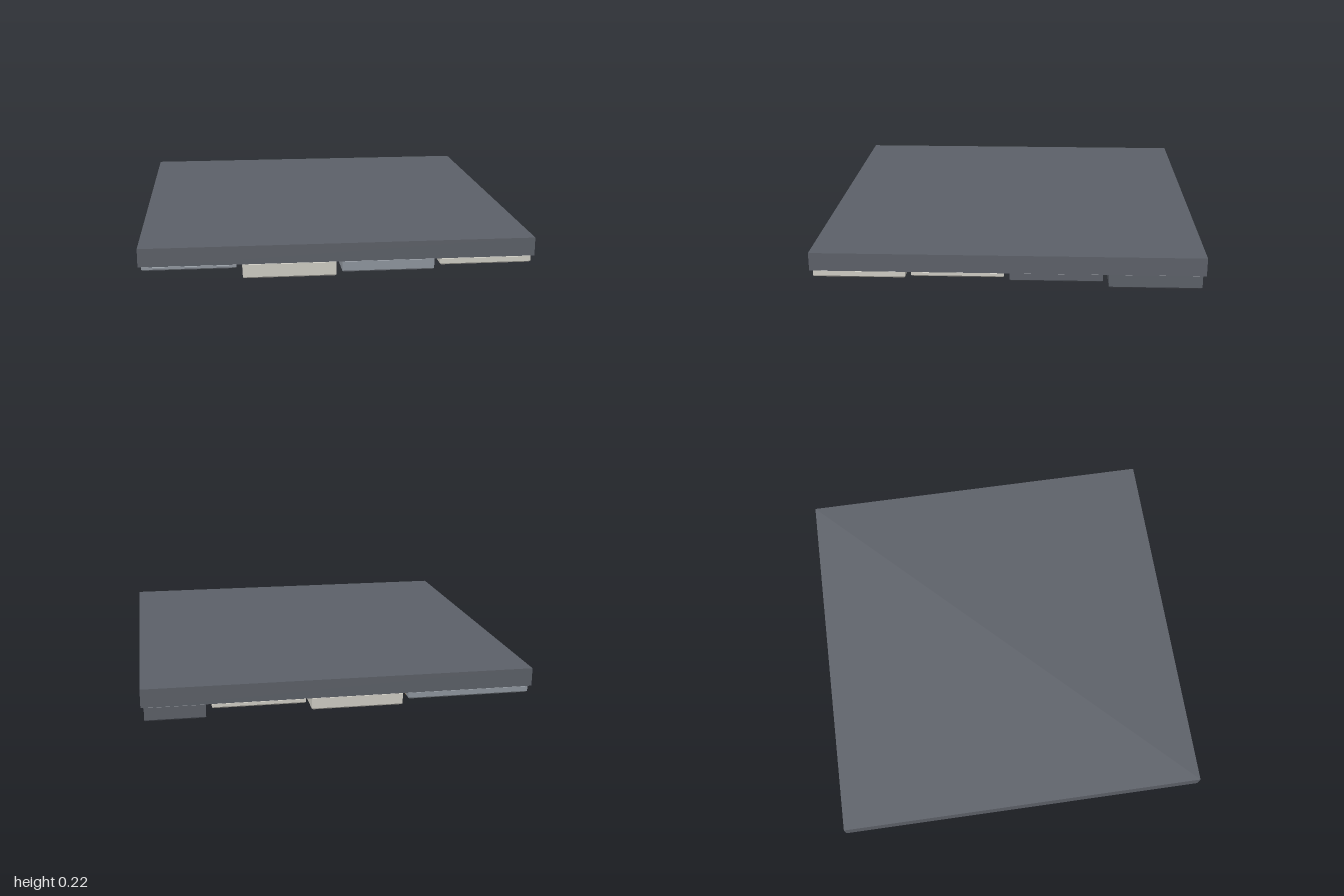
import * as THREE from 'three';

function material(name, color) {
  const m = new THREE.MeshStandardMaterial({ color });
  m.name = name;
  return m;
}

// Box with chamfered edges, given by its x, y and z limits
function chamferedBox(x0, x1, y0, y1, z0, z1, c) {
  const w = (x1 - x0) / 2 - c, d = (z1 - z0) / 2 - c;
  const shape = new THREE.Shape([
    new THREE.Vector2(-w, -d), new THREE.Vector2(w, -d),
    new THREE.Vector2(w, d), new THREE.Vector2(-w, d),
  ]);
  const geo = new THREE.ExtrudeGeometry(shape, {
    depth: y1 - y0 - 2 * c, bevelEnabled: true, bevelThickness: c, bevelSize: c, bevelSegments: 1,
  });
  geo.rotateX(-Math.PI / 2);
  geo.translate((x0 + x1) / 2, y0 + c, (z0 + z1) / 2);
  return geo;
}

export function createModel() {
  const model = new THREE.Group();
  model.name = 'panelledSlab';
  const dark = material('darkSlate', 0x5c6068);
  const grey = material('midGrey', 0x8f969e);
  const light = material('paleGrey', 0xcfcdc4);
  const orange = material('orange', 0xd28324);

  const add = (name, geo, mat, x = 0, y = 0, z = 0) => {
    const mesh = new THREE.Mesh(geo, mat);
    mesh.name = name;
    mesh.position.set(x, y, z);
    model.add(mesh);
    return mesh;
  };

  const underside = 0.13;
  const gap = 0.015;

  // Main slab
  add('slab', new THREE.BoxGeometry(2, 0.095, 2), dark, 0, 0.1775, 0);

  // Ring of underside tiles: x limits, z limits, bottom height, colour
  const tiles = [
    [0.667, 1, -1, -0.5, 0.052, dark],
    [0.167, 0.667, -1, -0.5, 0.1, light],
    [-0.333, 0.167, -1, -0.5, 0.062, light],
    [-1, -0.333, -1, -0.5, 0.09, grey],
    [0.5, 1, -0.5, 0, 0.082, dark],
    [0.5, 1, 0, 0.5, 0.1, light],
    [-1, -0.5, -0.5, 0.167, 0.075, dark],
    [-1, -0.5, 0.167, 0.5, 0.066, dark],
    [0.5, 1, 0.5, 1, 0.09, light],
    [0, 0.5, 0.5, 1, 0.068, grey],
    [-0.5, 0, 0.5, 1, 0.05, light],
    [-1, -0.5, 0.5, 1, 0.105, grey],
  ];
  for (const [x0, x1, z0, z1, y, mat] of tiles) {
    add('tile', chamferedBox(x0 + gap, x1 - gap, y, underside, z0 + gap, z1 - gap, 0.007), mat);
  }

  // Painted stripes on two back tiles
  for (const [x0, x1, y] of [[0.167, 0.667, 0.1], [-1, -0.333, 0.09]]) {
    add('stripe', new THREE.BoxGeometry(x1 - x0 - 0.045, 0.006, 0.06), orange,
      (x0 + x1) / 2, y - 0.001, -0.9);
  }

  // Slim ridges on the dark side tiles
  add('ridge', new THREE.BoxGeometry(0.012, 0.012, 0.3), grey, 0.73, 0.078, -0.25);
  add('ridge', new THREE.BoxGeometry(0.012, 0.012, 0.4), grey, -0.74, 0.071, -0.167);

  // Corner bolts on the front tile
  for (const sx of [-1, 1]) for (const sz of [-1, 1]) {
    add('bolt', new THREE.CylinderGeometry(0.012, 0.012, 0.012, 10), dark,
      0.75 + sx * 0.18, 0.088, 0.75 + sz * 0.18);
  }

  // Raised centre panel with vent plate and tilted louvres
  add('centrePanel', chamferedBox(-0.475, 0.475, 0.042, underside, -0.475, 0.475, 0.014), grey);
  add('ventPlate', new THREE.BoxGeometry(0.75, 0.025, 0.75), light, 0, 0.0325, 0);
  for (const z of [-0.3, -0.1, 0.1, 0.3]) {
    add('louvre', new THREE.BoxGeometry(0.7, 0.036, 0.012), dark, 0, 0.0195, z).rotation.x = 0.2;
  }
  return model;
}
